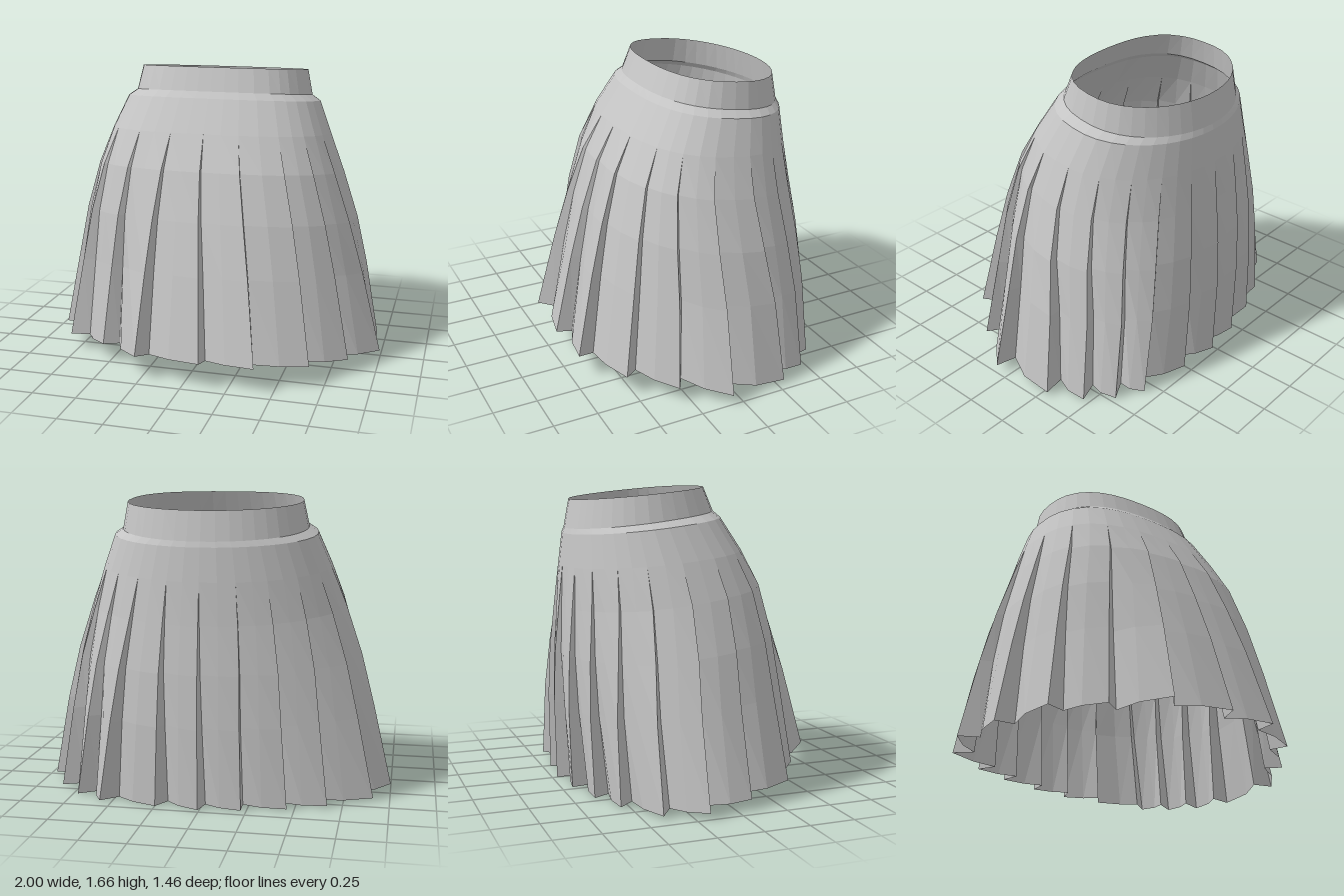
import * as THREE from 'three';

// Rings from waist to hem: half width, front z, front y, back z, back y,
// pleat depth, how far the ring follows the uneven hem, sag of the tilted ring
const RINGS = [
  [0.49, 0.10, 1.675, -0.61, 1.60, 0, 0, 0],
  [0.52, 0.155, 1.545, -0.64, 1.44, 0, 0, 0],
  [0.57, 0.19, 1.51, -0.65, 1.41, 0, 0, 0],
  [0.645, 0.305, 1.33, -0.67, 1.23, 0, 0, 0],
  [0.725, 0.42, 1.14, -0.695, 1.00, 0.028, 0.15, 0],
  [0.81, 0.52, 0.88, -0.72, 0.74, 0.053, 0.4, 0.01],
  [0.88, 0.61, 0.60, -0.73, 0.45, 0.082, 0.7, 0.015],
  [0.98, 0.73, 0.155, -0.72, 0.01, 0.12, 1, 0.023],
];

// Every pleat, going round from the front: outer corner at the hem (x, z)
// and the angle at which the pleat starts below the yoke
const PLEATS = [
  [0.10, 0.73, 0.02], [0.40, 0.71, 0.32], [0.67, 0.54, 0.65], [0.85, 0.31, 0.9],
  [1.0, 0.06, 1.21], [0.95, -0.29, 1.61], [0.85, -0.47, 1.97], [0.72, -0.59, 2.28],
  [0.57, -0.67, 2.56], [0.25, -0.70, 2.85], [0.01, -0.72, 3.13], [-0.22, -0.69, 3.43],
  [-0.46, -0.63, 3.70], [-0.67, -0.55, 4.0], [-0.91, -0.40, 4.31], [-1.0, -0.18, 4.68],
  [-0.93, 0.08, 5.06], [-0.79, 0.36, 5.39], [-0.53, 0.51, 5.71], [-0.27, 0.71, 6.01],
];

// Each pleat as a start angle, a hem angle and a relative radius on the hem ellipse
function pleatTips() {
  const [a, zf, , zb] = RINGS[RINGS.length - 1];
  const c = (zf + zb) / 2, b = (zf - zb) / 2;
  const tips = PLEATS.map(([x, z, start]) => {
    const u = x / a, v = (z - c) / b;
    let hem = Math.atan2(u, v);
    if (hem < 0) hem += Math.PI * 2;
    return { start, hem, radius: Math.hypot(u, v) };
  });
  const { start, hem, radius } = tips[0];
  tips.push({ start: start + Math.PI * 2, hem: hem + Math.PI * 2, radius });
  return tips;
}

// The front half of the waist is a little squarer than an ellipse
function ringPoint(ring, angle, scale) {
  const [a, zf, yf, zb, yb, , follow, sag] = ring;
  const square = Math.cos(angle) > 0 ? 0.08 * (1 - follow) * Math.sin(2 * angle) ** 2 : 0;
  const radius = scale * (1 + square);
  const x = a * radius * Math.sin(angle);
  const z = (zf + zb) / 2 + ((zf - zb) / 2) * radius * Math.cos(angle);
  const u = (z - zb) / (zf - zb);
  return new THREE.Vector3(x, yb + (yf - yb) * u - 4 * sag * u * (1 - u), z);
}

// One ring of points: outer fold, inner fold and panel middle for each pleat
function ringLoop(ring, tips) {
  const depth = ring[5], follow = ring[6];
  const angleOf = (tip) => tip.start + (tip.hem - tip.start) * follow;
  const radiusOf = (tip) => 1 + (tip.radius - 1) * follow;
  const points = [];
  for (let k = 0; k < tips.length - 1; k++) {
    const p = tips[k], q = tips[k + 1];
    const angle = angleOf(p), radius = radiusOf(p);
    points.push(ringPoint(ring, angle, radius));
    points.push(ringPoint(ring, angle + depth * 0.25, radius * (1 - depth)));
    points.push(ringPoint(ring, (angle + angleOf(q)) / 2,
      ((radius + radiusOf(q)) / 2) * (1 - depth * 0.45)));
  }
  return points;
}

// Cloth surface between consecutive loops, leaving out collapsed triangles
function loft(loops) {
  const pos = [];
  const tri = new THREE.Triangle();
  const add = (a, b, c) => {
    if (tri.set(a, b, c).getArea() > 1e-7) for (const v of [a, b, c]) pos.push(v.x, v.y, v.z);
  };
  for (let j = 0; j < loops.length - 1; j++) {
    const up = loops[j], low = loops[j + 1], n = up.length;
    for (let i = 0; i < n; i++) {
      const k = (i + 1) % n;
      add(up[i], low[i], low[k]);
      add(up[i], low[k], up[k]);
    }
  }
  const geometry = new THREE.BufferGeometry();
  geometry.setAttribute('position', new THREE.Float32BufferAttribute(pos, 3));
  geometry.computeVertexNormals();
  return geometry;
}

export function createModel() {
  const group = new THREE.Group();
  group.name = 'pleatedSkirt';
  const cloth = new THREE.MeshStandardMaterial({
    color: 0xc4c4c4, flatShading: true, side: THREE.DoubleSide,
  });
  cloth.name = 'lightGreyCloth';

  const tips = pleatTips();
  const loops = RINGS.map((ring) => ringLoop(ring, tips));
  const part = (name, from, to) => {
    const mesh = new THREE.Mesh(loft(loops.slice(from, to + 1)), cloth);
    mesh.name = name;
    group.add(mesh);
  };
  part('waistband', 0, 1);
  part('waistSeam', 1, 2);
  part('yoke', 2, 3);
  part('pleats', 3, RINGS.length - 1);
  return group;
}
